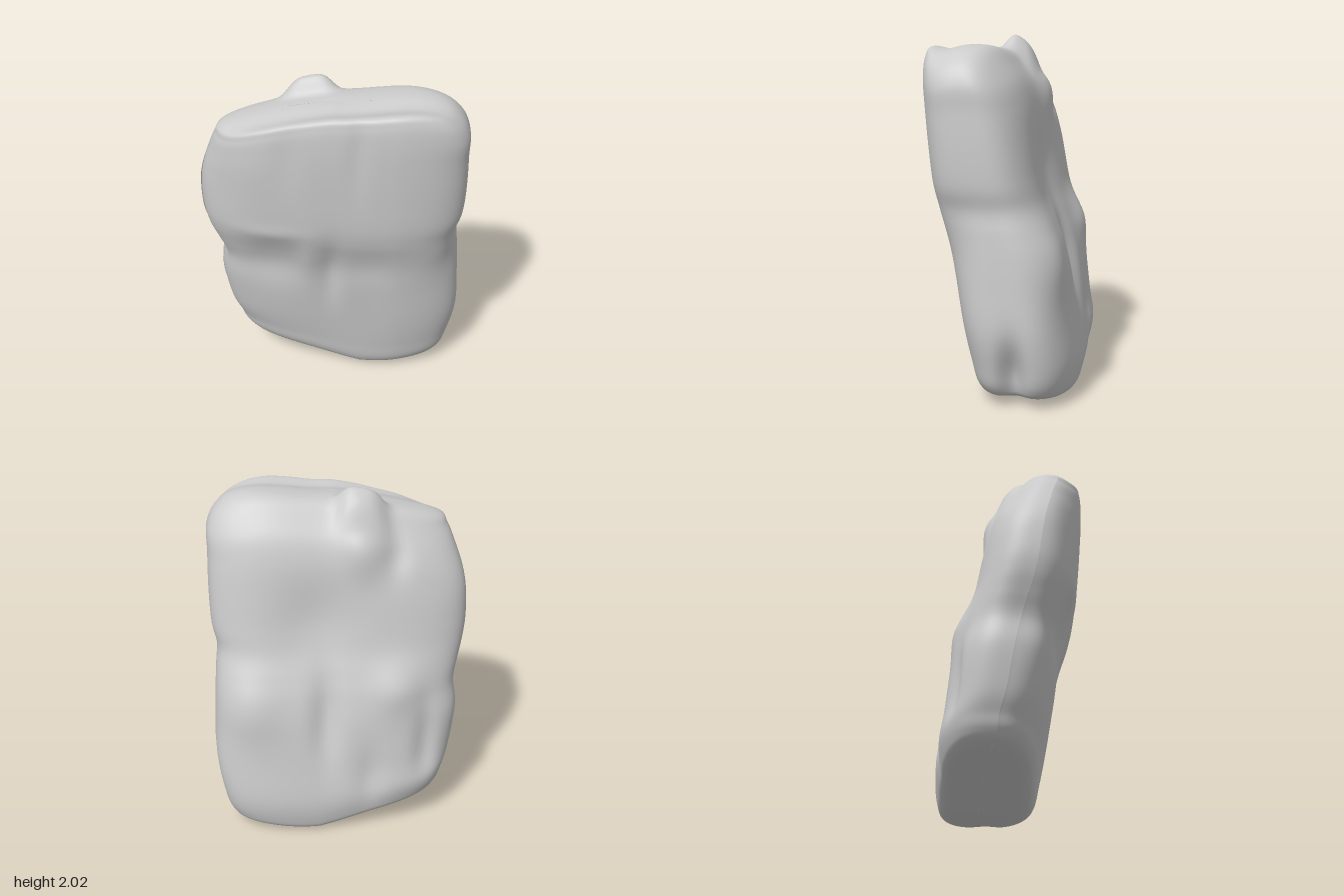
import * as THREE from 'three';

const SEGMENTS = 140, ROWS = 130;

// Slab cross-sections from base to crown: y, min x, max x, back z, front z
const SECTIONS = [
  [0.04, -0.02, 0.02, -0.20, -0.18],
  [0.04, -0.32, 0.38, -0.31, -0.05],
  [0.06, -0.52, 0.60, -0.39, 0.09],
  [0.12, -0.59, 0.68, -0.42, 0.15],
  [0.25, -0.62, 0.72, -0.435, 0.18],
  [0.45, -0.66, 0.75, -0.41, 0.22],
  [0.70, -0.70, 0.74, -0.375, 0.27],
  [0.87, -0.69, 0.73, -0.335, 0.305],
  [1.00, -0.72, 0.72, -0.295, 0.34],
  [1.12, -0.75, 0.71, -0.26, 0.375],
  [1.25, -0.765, 0.735, -0.235, 0.40],
  [1.45, -0.76, 0.74, -0.20, 0.42],
  [1.65, -0.735, 0.735, -0.16, 0.435],
  [1.80, -0.70, 0.73, -0.11, 0.44],
  [1.91, -0.66, 0.67, -0.04, 0.435],
  [1.965, -0.60, 0.56, 0.02, 0.41],
  [1.97, -0.30, 0.32, 0.10, 0.30],
  [1.965, -0.02, 0.02, 0.19, 0.21],
];

// Dents and lumps on the broad faces: x, y, x radius, y radius, outward depth
const FRONT_BUMPS = [
  [-0.36, 0.92, 0.20, 0.18, -0.035],
  [-0.36, 1.17, 0.20, 0.06, 0.012],
  [-0.02, 0.86, 0.06, 0.22, -0.035],
  [-0.16, 0.95, 0.05, 0.16, 0.015],
  [0.20, 0.93, 0.20, 0.14, -0.015],
  [0.13, 1.75, 0.05, 0.25, -0.015],
  [-0.25, 1.75, 0.08, 0.25, -0.012],
  [-0.68, 1.60, 0.14, 0.45, -0.03],
  [0.35, 0.40, 0.25, 0.25, 0.01],
];
const BACK_BUMPS = [
  [0.15, 1.30, 0.22, 0.25, -0.045],
  [-0.32, 0.92, 0.15, 0.15, 0.045],
  [0.10, 0.75, 0.08, 0.25, -0.05],
  [0.56, 0.86, 0.20, 0.22, 0.05],
  [-0.48, 0.55, 0.06, 0.22, -0.035],
  [-0.13, 1.78, 0.12, 0.18, 0.05],
  [-0.32, 1.72, 0.07, 0.14, -0.03],
  [-0.15, 0.35, 0.08, 0.20, -0.025],
];

const gauss = (d, r) => Math.exp(-(d * d) / (r * r));
// Flat-topped bump with steeper sides
const plateau = (d, r) => Math.exp(-((d / r) ** 4));
const relief = (bumps, x, y) =>
  bumps.reduce((sum, [cx, cy, rx, ry, d]) => sum + d * gauss(x - cx, rx) * gauss(y - cy, ry), 0);

// Smooth curve through one column of the section table
const column = (i) => new THREE.SplineCurve(SECTIONS.map((s, k) => new THREE.Vector2(k, s[i])));

function weather(p, angle) {
  let { x, y, z } = p;
  const side = Math.sin(angle);
  const front = THREE.MathUtils.smoothstep(side, 0, 0.3);
  const back = THREE.MathUtils.smoothstep(-side, 0, 0.3);
  const high = THREE.MathUtils.smoothstep(y, 1.3, 1.95);
  const low = 1 - THREE.MathUtils.smoothstep(y, 0.05, 0.5);

  // Broad faces
  z += front * (relief(FRONT_BUMPS, x, y) + 0.07 * Math.min(0, x - 0.35));
  z -= back * relief(BACK_BUMPS, x, y);
  // Cleft at the foot of the left end, hollow above it, notch on the right end
  if (x > 0) {
    x -= (x / 0.7) * (0.08 * gauss(z + 0.12, 0.07) * gauss(y - 0.18, 0.2)
      + 0.03 * gauss(z - 0.20, 0.12) * gauss(y - 0.9, 0.25));
  } else {
    x -= 0.025 * gauss(z - 0.03, 0.1) * gauss(y - 0.85, 0.2) * (x / 0.7);
  }
  // Crown slopes down to one end, with a shallow trough behind the front rim
  y += high * (0.035 * gauss(x - 0.42, 0.25) + 0.26 * Math.min(0, x) * Math.abs(Math.min(0, x)) ** 0.3
    - 0.012 - 0.025 * gauss(z - 0.3, 0.08) - 0.03 * gauss(z + 0.05, 0.1));
  // Foot rises towards the same end
  y += low * (0.20 * Math.max(0, 0.15 - x) - 0.035 * gauss(x - 0.2, 0.3));
  // Blunt knob on the back of the crown
  y += high * 0.1 * plateau(x + 0.14, 0.13) * plateau(z + 0.01, 0.09);
  return [x, y, z];
}

function slabGeometry() {
  const curves = [0, 1, 2, 3, 4].map(column);
  const positions = [], index = [];
  for (let r = 0; r <= ROWS; r++) {
    const [y, x0, x1, z0, z1] = curves.map((c) => c.getPoint(r / ROWS).y);
    for (let s = 0; s < SEGMENTS; s++) {
      const a = (s / SEGMENTS) * Math.PI * 2;
      const c = Math.cos(a), d = Math.sin(a);
      // Rounded-rectangle outline
      const k = (Math.abs(c) ** 3.2 + Math.abs(d) ** 3.2) ** (-1 / 3.2);
      const p = {
        x: (x0 + x1) / 2 + ((x1 - x0) / 2) * k * c,
        y,
        z: (z0 + z1) / 2 + ((z1 - z0) / 2) * k * d,
      };
      positions.push(...weather(p, a));
      if (r < ROWS) {
        const i = r * SEGMENTS + s, j = r * SEGMENTS + ((s + 1) % SEGMENTS);
        index.push(i, i + SEGMENTS, j, j, i + SEGMENTS, j + SEGMENTS);
      }
    }
  }
  const geometry = new THREE.BufferGeometry();
  geometry.setAttribute('position', new THREE.Float32BufferAttribute(positions, 3));
  geometry.setIndex(index);
  // Rest on the ground
  geometry.computeBoundingBox();
  geometry.translate(0, -geometry.boundingBox.min.y, 0);
  geometry.computeVertexNormals();
  return geometry;
}

export function createModel() {
  const group = new THREE.Group();
  group.name = 'rock';
  const slab = new THREE.Mesh(slabGeometry(), new THREE.MeshStandardMaterial({ color: 0xcccccc }));
  slab.name = 'rockSlab';
  group.add(slab);
  return group;
}
